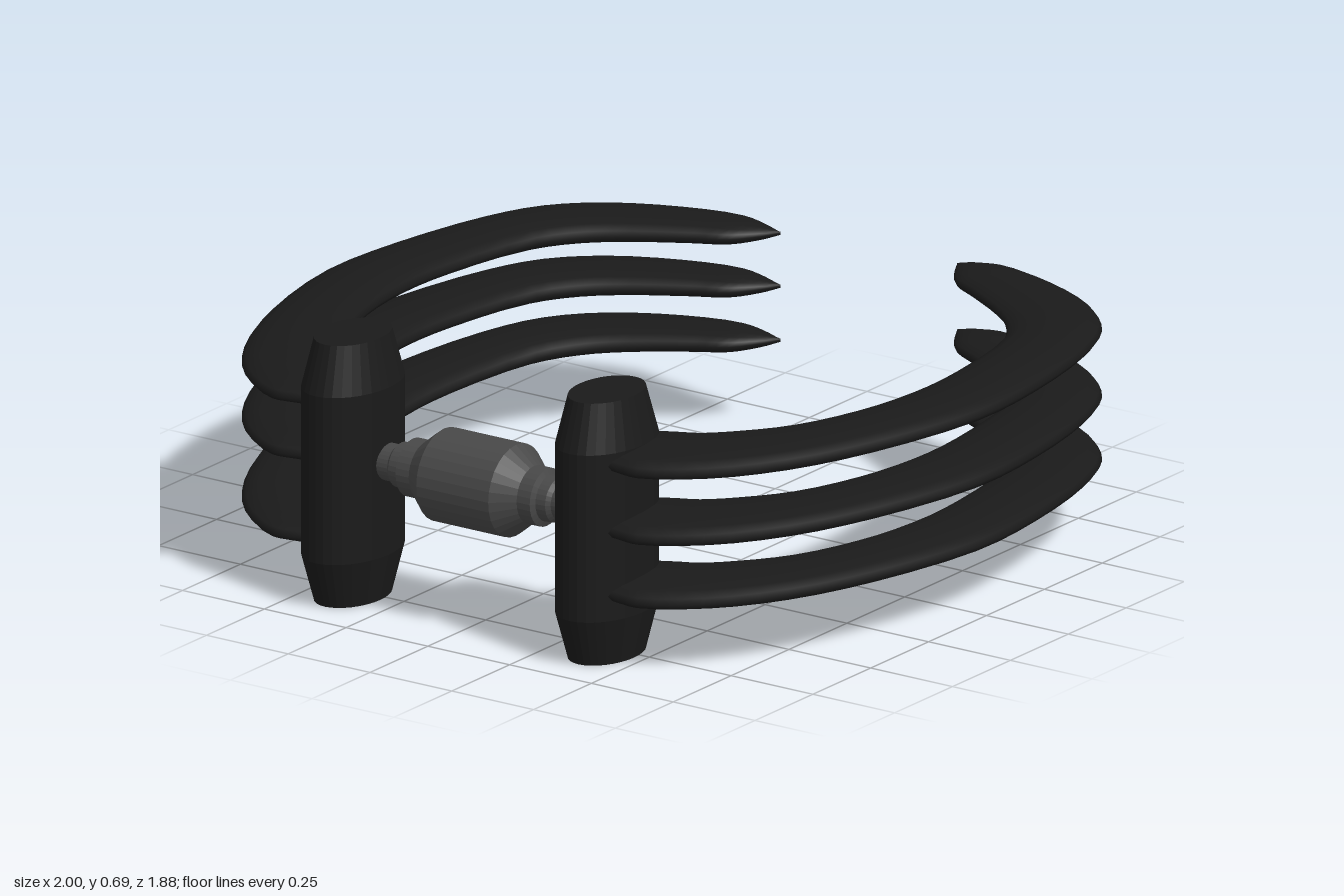
import * as THREE from 'three';

const black = new THREE.MeshStandardMaterial({ color: 0x1a1a1a });
const blackFlat = new THREE.MeshStandardMaterial({ color: 0x1a1a1a, flatShading: true });
const steel = new THREE.MeshStandardMaterial({ color: 0x484848, flatShading: true });

const HINGE_Z = 0.775;

// Claw plan: inner x, inner z, outer x, outer z, half thickness
const CLAW = [
  [0.34, 0.67, 0.36, 0.86, 0.03],
  [0.45, 0.59, 0.50, 0.89, 0.033],
  [0.53, 0.55, 0.56, 0.895, 0.034],
  [0.60, 0.48, 0.70, 0.80, 0.035],
  [0.68, 0.37, 0.83, 0.62, 0.035],
  [0.74, 0.20, 0.93, 0.37, 0.035],
  [0.77, 0.00, 1.00, 0.03, 0.035],
  [0.765, -0.19, 0.985, -0.25, 0.035],
  [0.71, -0.48, 0.93, -0.53, 0.035],
  [0.64, -0.59, 0.865, -0.69, 0.035],
  [0.55, -0.665, 0.75, -0.81, 0.034],
  [0.42, -0.745, 0.57, -0.90, 0.032],
  [0.35, -0.785, 0.40, -0.94, 0.028],
  [0.30, -0.85, 0.33, -0.925, 0.018],
  [0.27, -0.905, 0.27, -0.905, 0.004],
];

// Flat oval section swept between the inner and outer edges
function clawGeometry(side, y, tilt) {
  const rings = 42, sides = 16;
  const inner = new THREE.CatmullRomCurve3(CLAW.map(p => new THREE.Vector3(p[0], 0, p[1])));
  const outer = new THREE.CatmullRomCurve3(CLAW.map(p => new THREE.Vector3(p[2], p[4], p[3])));
  const pos = [], index = [];
  const tri = (a, b, c) => (side > 0 ? index.push(a, b, c) : index.push(a, c, b));
  for (let i = 0; i <= rings; i++) {
    const a = inner.getPoint(i / rings), b = outer.getPoint(i / rings);
    const cx = (a.x + b.x) / 2, cz = (a.z + b.z) / 2;
    for (let j = 0; j < sides; j++) {
      const t = (j / sides) * Math.PI * 2, c = Math.cos(t);
      pos.push(
        side * (cx + (b.x - a.x) / 2 * c),
        y - tilt * cz + b.y * Math.sin(t),
        cz + (b.z - a.z) / 2 * c);
      if (i === rings) continue;
      const k = i * sides, n = (j + 1) % sides;
      tri(k + j, k + sides + j, k + n);
      tri(k + n, k + sides + j, k + sides + n);
    }
  }
  // close the root inside the post
  for (let j = 1; j < sides - 1; j++) tri(0, j, j + 1);
  const g = new THREE.BufferGeometry();
  g.setAttribute('position', new THREE.Float32BufferAttribute(pos, 3));
  g.setIndex(index);
  g.computeVertexNormals();
  return g;
}

function lathe(points, segments) {
  return new THREE.LatheGeometry(points.map(p => new THREE.Vector2(p[0], p[1])), segments);
}

export function createModel() {
  const model = new THREE.Group();
  const add = (name, geometry, material) => {
    const mesh = new THREE.Mesh(geometry, material);
    mesh.name = name;
    model.add(mesh);
    return mesh;
  };

  // Oval posts with tapered ends
  const post = lathe([[0, 0], [0.083, 0], [0.11, 0.125], [0.11, 0.565], [0.083, 0.69], [0, 0.69]], 32);
  post.scale(1, 1, 1.48);
  for (const side of [1, -1]) {
    add(side > 0 ? 'leftPost' : 'rightPost', post, blackFlat).position.set(side * 0.388, 0, HINGE_Z);
  }

  // Three stacked claws per side: height at z = 0, and rise toward the tip
  const levels = {
    left: [[0.19, 0], [0.357, 0], [0.532, 0]],
    right: [[0.19, 0.04], [0.373, -0.005], [0.517, -0.01]],
  };
  for (const [name, list] of Object.entries(levels)) {
    const side = name === 'left' ? 1 : -1;
    list.forEach(([y, tilt], i) => add(`${name}Claw${i + 1}`, clawGeometry(side, y, tilt), black));
  }

  // Stepped connector between the posts
  const half = [[0.12, 0.11], [0.075, 0.165], [0.075, 0.205], [0.06, 0.212], [0.058, 0.24], [0.048, 0.25], [0.048, 0.3], [0, 0.3]];
  const profile = [...half.map(([r, h]) => [r, -h]).reverse(), ...half];
  const connector = add('connector', lathe(profile, 28), steel);
  connector.rotation.z = -Math.PI / 2;
  connector.position.set(0, 0.37, HINGE_Z);

  return model;
}
